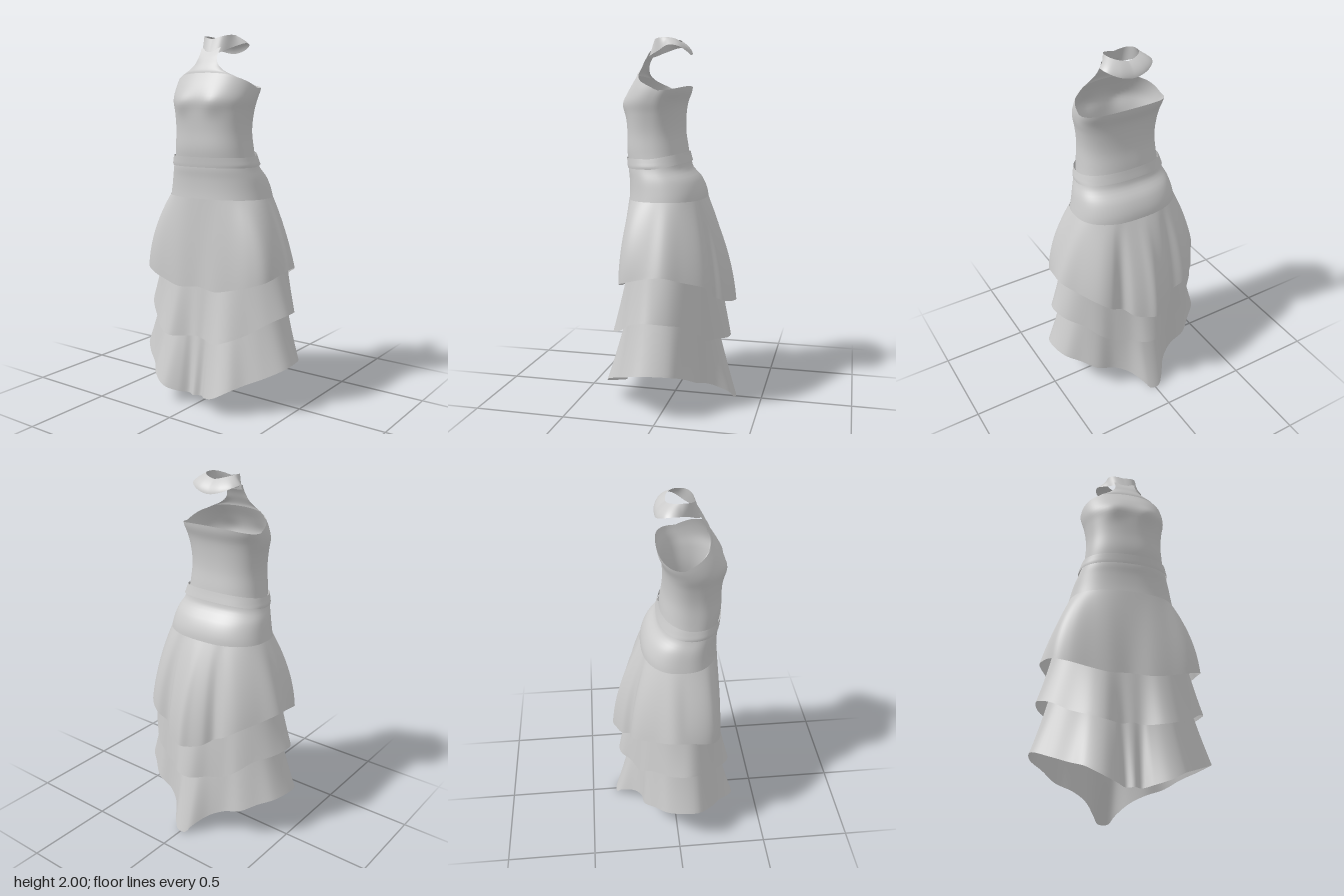
import * as THREE from 'three';
import { mergeVertices } from 'three/addons/utils/BufferGeometryUtils.js';

const material = new THREE.MeshStandardMaterial({ color: 0xcccccc, side: THREE.DoubleSide });

// Smooth sheet from a function of (u around, v upward)
function sheet(name, nu, nv, fn) {
  const pos = [], idx = [];
  for (let j = 0; j <= nv; j++)
    for (let i = 0; i <= nu; i++) pos.push(...fn(i / nu, j / nv));
  for (let j = 0; j < nv; j++)
    for (let i = 0; i < nu; i++) {
      const a = j * (nu + 1) + i, b = a + 1, c = a + nu + 1, d = c + 1;
      idx.push(a, b, d, a, d, c);
    }
  let geo = new THREE.BufferGeometry();
  geo.setAttribute('position', new THREE.Float32BufferAttribute(pos, 3));
  geo.setIndex(idx);
  geo = mergeVertices(geo, 1e-5);
  geo.computeVertexNormals();
  const mesh = new THREE.Mesh(geo, material);
  mesh.name = name;
  return mesh;
}

// Rounded body section: half-width w, front z f, back z b, widest at fraction mid from
// the back; angle 0 is the front
function section(a, w, f, b, mid = 0.5) {
  const p = (v) => Math.sign(v) * Math.pow(Math.abs(v), 2 / 2.4);
  const zm = THREE.MathUtils.lerp(b, f, mid), c = p(Math.cos(a));
  return [w * p(Math.sin(a)), zm + c * (c > 0 ? f - zm : zm - b)];
}

// Smooth lookup in rows of [key, ...values]
function smoothRows(rows) {
  const size = rows[0].length - 1;
  const it = new THREE.CubicInterpolant(rows.map((r) => r[0]), rows.flatMap((r) => r.slice(1)), size);
  return (k) => Array.from(it.evaluate(k));
}

// Body shell through rows of [y, w, f, b, mid], with shaped edges and optional front relief
function shell(name, rows, nv, topY, bottomY, relief = () => 0) {
  const at = smoothRows(rows);
  return sheet(name, 72, nv, (u, v) => {
    const a = u * Math.PI * 2;
    const y = THREE.MathUtils.lerp(bottomY(a), topY(a), v);
    const [x, z] = section(a, ...at(y));
    return [x, y, z + (Math.cos(a) > 0 ? relief(x, y) : 0)];
  });
}

// Flared tier from a top section down to a hem; hem lists [x, y, z] front to back, mirrored
function tier(name, top, hem, { curve = 0, backCurve = 0, cornerCurve = 0, sideLift = 0 }) {
  const mirrored = hem.slice(1, -1).reverse().map(([x, y, z]) => [-x, y, z]);
  const path = new THREE.CatmullRomCurve3([...hem, ...mirrored].map((p) => new THREE.Vector3(...p)), true);
  const [ty, w, f, b] = top;
  return sheet(name, 160, 18, (u, v) => {
    const h = path.getPoint(u % 1);
    const a = Math.atan2(h.x / w, (h.z - (f + b) / 2) / ((f - b) / 2));
    const [x, z] = section(a, w, f, b);
    const s = 1 - v, front = Math.cos(a);
    const bulge = curve + backCurve * Math.max(0, -front)
      + cornerCurve * Math.max(0, front) * Math.abs(Math.sin(a)) * 2;
    const flare = s + bulge * s * (1 - s);
    const y = ty + sideLift * Math.abs(Math.sin(a));
    return [x + (h.x - x) * flare, y + (h.y - y) * s, z + (h.z - z) * flare];
  });
}

export function createModel() {
  const dress = new THREE.Group();
  dress.name = 'dress';

  // Bodice with a soft bust, dipping under the arms
  const bodiceRows = [
    [1.32, 0.232, 0.245, -0.075, 0.5], [1.4, 0.222, 0.257, -0.065, 0.5], [1.5, 0.215, 0.257, -0.05, 0.48],
    [1.6, 0.225, 0.262, -0.05, 0.44], [1.66, 0.238, 0.266, -0.058, 0.41], [1.72, 0.243, 0.245, -0.078, 0.37],
    [1.8, 0.234, 0.197, -0.088, 0.37],
  ];
  const neckline = (a) => {
    const c = Math.cos(a);
    return 1.72 + (c > 0 ? 0.08 * Math.pow(c, 0.83) : 0.025 * c * c);
  };
  const bust = (x, y) => 0.014 * Math.exp(-(((Math.abs(x) - 0.1) / 0.055) ** 2) - ((y - 1.64) / 0.055) ** 2);
  dress.add(shell('bodice', bodiceRows, 28, neckline, () => 1.33, bust));

  // Halter panel, narrowing from the bodice edge to the collar
  const bodiceAt = smoothRows(bodiceRows);
  const halterAt = smoothRows([
    [0, 1.8, 0.205, 0.197], [0.15, 1.812, 0.165, 0.194], [0.3, 1.827, 0.118, 0.187],
    [0.45, 1.85, 0.08, 0.174], [0.65, 1.88, 0.062, 0.158], [0.85, 1.91, 0.06, 0.138],
    [1, 1.93, 0.064, 0.125],
  ]);
  const reach = 1.03;
  const edgeX = section(reach, ...bodiceAt(neckline(reach)))[0];
  dress.add(sheet('halterPanel', 24, 20, (u, t) => {
    const a = (u * 2 - 1) * reach, baseY = neckline(a);
    const [bx, bz] = section(a, ...bodiceAt(baseY));
    const [y, w, z] = halterAt(t), fade = 1 - t;
    const x = t === 0 ? bx : (bx / edgeX) * w;
    return [x, y - (1.8 - baseY) * fade ** 2, z - (0.197 - bz) * fade ** 4];
  }));

  // Flared collar ring
  dress.add(tier('collar', [1.978, 0.088, 0.112, -0.032], [
    [0, 1.9, 0.142], [0.055, 1.905, 0.13], [0.09, 1.93, 0.075], [0.14, 1.957, 0.005],
    [0.13, 1.95, -0.045], [0.075, 1.925, -0.08], [0, 1.91, -0.087],
  ], { backCurve: 0.8, sideLift: 0.022 }));

  // Waistband, slightly higher at the back
  const tilt = (a) => 0.03 * Math.max(0, -Math.cos(a));
  dress.add(shell('waistband', [
    [1.3, 0.251, 0.249, -0.09], [1.315, 0.254, 0.252, -0.092], [1.34, 0.247, 0.255, -0.086],
    [1.37, 0.238, 0.258, -0.078], [1.4, 0.228, 0.259, -0.071],
  ], 6, (a) => 1.362 + tilt(a), (a) => 1.308 + tilt(a)));

  // Hip yoke between waistband and tiers
  dress.add(shell('hipYoke', [
    [1.1, 0.305, 0.242, -0.178], [1.18, 0.288, 0.238, -0.168], [1.25, 0.27, 0.24, -0.135],
    [1.3, 0.25, 0.246, -0.09], [1.35, 0.236, 0.246, -0.078],
  ], 14, (a) => 1.32 + tilt(a), () => 1.12));

  // Three ruffled tiers, each hem rising at the sides
  dress.add(tier('upperTier', [1.14, 0.298, 0.241, -0.174], [
    [0, 0.66, 0.25], [0.12, 0.65, 0.265], [0.22, 0.67, 0.255], [0.33, 0.7, 0.235], [0.4, 0.725, 0.19],
    [0.43, 0.76, 0.06], [0.435, 0.77, -0.03], [0.38, 0.74, -0.12], [0.3, 0.7, -0.225],
    [0.24, 0.66, -0.255], [0.165, 0.62, -0.25], [0.12, 0.59, -0.3], [0.05, 0.57, -0.33], [0, 0.57, -0.35],
  ], { curve: 0.2, backCurve: 0.5, cornerCurve: 0.7 }));
  dress.add(tier('middleTier', [0.85, 0.365, 0.222, -0.21], [
    [0, 0.39, 0.27], [0.05, 0.38, 0.27], [0.15, 0.38, 0.318], [0.22, 0.4, 0.3], [0.31, 0.44, 0.23],
    [0.4, 0.5, 0.155], [0.455, 0.53, 0.06], [0.43, 0.52, -0.05], [0.35, 0.49, -0.14],
    [0.28, 0.43, -0.2], [0.2, 0.38, -0.225], [0.12, 0.37, -0.26], [0.05, 0.36, -0.31], [0, 0.36, -0.32],
  ], { curve: -0.15, backCurve: 0.3 }));
  dress.add(tier('lowerTier', [0.6, 0.375, 0.222, -0.195], [
    [0, 0.06, 0.3], [0.04, 0.06, 0.28], [0.09, 0.07, 0.32], [0.17, 0.095, 0.352], [0.25, 0.14, 0.32],
    [0.31, 0.17, 0.255], [0.4, 0.21, 0.19], [0.475, 0.25, 0.1], [0.455, 0.25, -0.06],
    [0.38, 0.22, -0.13], [0.3, 0.175, -0.19], [0.2, 0.14, -0.205], [0.12, 0.1, -0.25],
    [0.06, 0.045, -0.325], [0.03, 0.005, -0.35], [0, 0, -0.355],
  ], { curve: -0.15 }));

  return dress;
}
